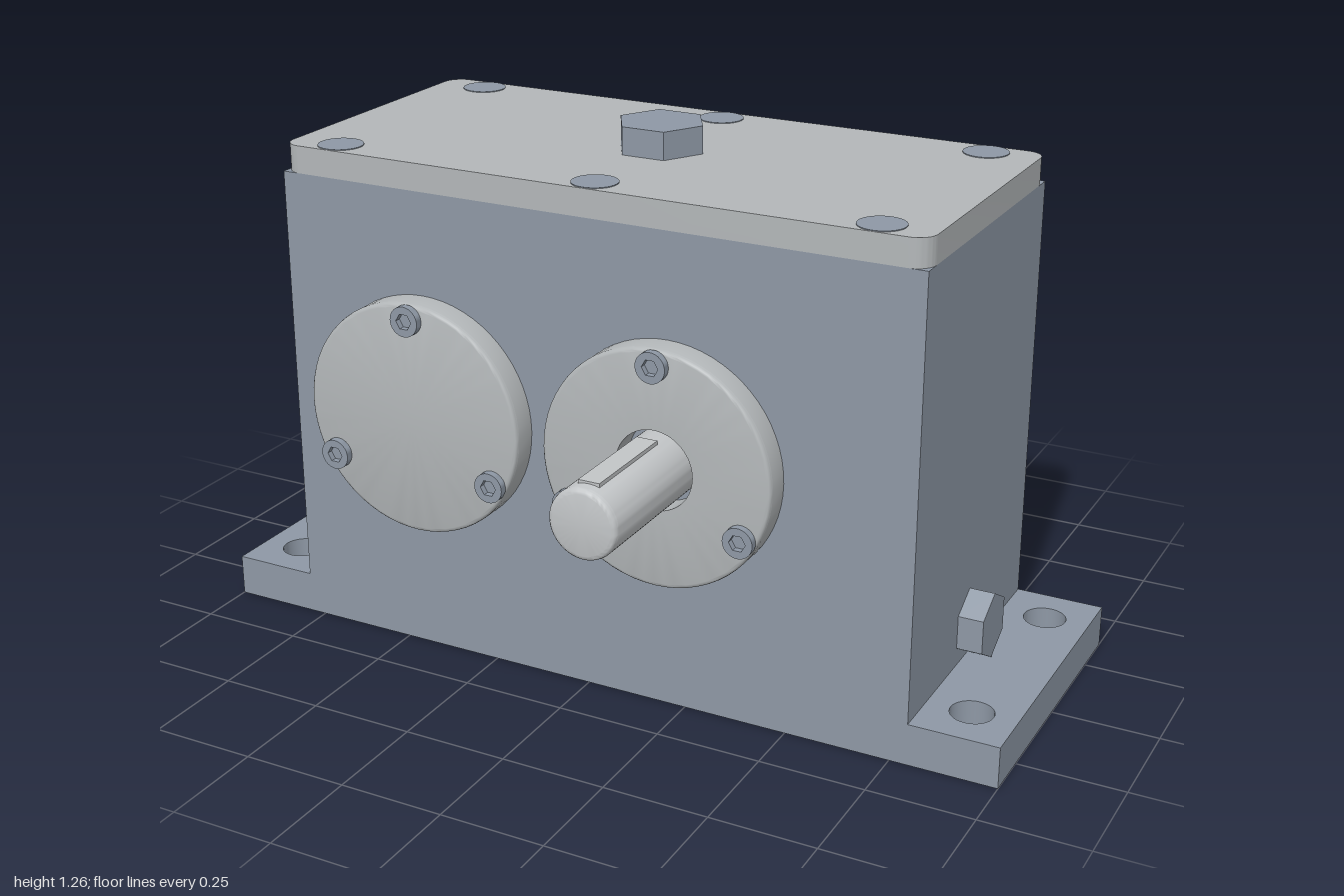
import * as THREE from 'three';
import { toCreasedNormals } from 'three/addons/utils/BufferGeometryUtils.js';

const mat = (name, color) => Object.assign(new THREE.MeshStandardMaterial({ color }), { name });

function polygon(target, radius, sides, turn = 0, cx = 0, cy = 0) {
  const pts = [];
  for (let i = 0; i < sides; i++) {
    const a = turn + (i / sides) * Math.PI * 2;
    pts.push(new THREE.Vector2(cx + radius * Math.cos(a), cy + radius * Math.sin(a)));
  }
  return target.setFromPoints(pts);
}

const extrude = (shape, depth) => toCreasedNormals(
  new THREE.ExtrudeGeometry(shape, { depth, bevelEnabled: false, curveSegments: 10 }), 0.6);

// Turned part along +z
const turned = (pts) => toCreasedNormals(
  new THREE.LatheGeometry(pts.map((p) => new THREE.Vector2(...p)), 64).rotateX(Math.PI / 2), 0.6);

// Quarter-round edge between a side of the given radius and an end face
function roundEdge(radius, length, r) {
  return [0, 1, 2, 3].map((i) => {
    const a = (i / 3) * Math.PI / 2;
    return [radius - r + r * Math.cos(a), length - r + r * Math.sin(a)];
  });
}

export function createModel() {
  const paint = mat('blue grey paint', 0x8e98a5);
  const cover = mat('light grey metal', 0xb3b7b9);
  const steel = mat('bright steel', 0xc2c5c7);
  const brass = mat('golden metal', 0xc9aa6a);
  const model = new THREE.Group();
  model.name = 'gearbox';

  function add(parent, name, geometry, material, x = 0, y = 0, z = 0) {
    const mesh = new THREE.Mesh(geometry, material);
    mesh.name = name;
    mesh.position.set(x, y, z);
    parent.add(mesh);
    return mesh;
  }

  // Foot plate with four mounting holes
  const foot = new THREE.Shape([[-1, -0.365], [1, -0.365], [1, 0.365], [-1, 0.365]]
    .map((p) => new THREE.Vector2(...p)));
  for (const x of [-0.895, 0.895]) for (const z of [-0.25, 0.25]) {
    foot.holes.push(polygon(new THREE.Path(), 0.05, 32, 0, x, z));
  }
  add(model, 'footPlate', extrude(foot, 0.1).rotateX(-Math.PI / 2), paint);

  // Housing
  add(model, 'housing', new THREE.BoxGeometry(1.58, 1.03, 0.73), paint, 0, 0.615, 0);

  // Lid with rounded corners
  const w = 0.79, d = 0.365, r = 0.045;
  const lid = new THREE.Shape();
  lid.moveTo(-w + r, -d);
  lid.lineTo(w - r, -d).absarc(w - r, -d + r, r, -Math.PI / 2, 0);
  lid.lineTo(w, d - r).absarc(w - r, d - r, r, 0, Math.PI / 2);
  lid.lineTo(-w + r, d).absarc(-w + r, d - r, r, Math.PI / 2, Math.PI);
  lid.lineTo(-w, -d + r).absarc(-w + r, -d + r, r, Math.PI, Math.PI * 1.5);
  add(model, 'lid', extrude(lid, 0.065).rotateX(-Math.PI / 2), cover, 0, 1.13, 0);

  // Flush lid screws
  for (const x of [-0.665, 0, 0.665]) for (const z of [-0.31, 0.31]) {
    add(model, 'lidScrew', new THREE.CylinderGeometry(0.053, 0.053, 0.004, 32), paint, x, 1.195, z);
  }

  // Hexagonal filler cap and drain plug
  add(model, 'fillerCap', extrude(polygon(new THREE.Shape(), 0.105, 6), 0.065).rotateX(-Math.PI / 2),
    paint, 0, 1.195, 0);
  add(model, 'drainPlug', extrude(polygon(new THREE.Shape(), 0.081, 6, Math.PI / 2), 0.06).rotateY(Math.PI / 2),
    paint, 0.79, 0.185, 0);

  // Bolt head with hexagonal socket
  const head = polygon(new THREE.Shape(), 0.036, 32);
  head.holes.push(polygon(new THREE.Path(), 0.02, 6));
  const headGeometry = extrude(head, 0.018);
  const socketGeometry = new THREE.CircleGeometry(0.021, 6);

  // Bearing cover, with a shaft and key where one passes through
  function bearing(x, side, shaftMaterial) {
    const group = new THREE.Group();
    group.name = side > 0 ? 'frontBearing' : 'backBearing';
    group.position.set(x, 0.605, side * 0.365);
    group.rotation.y = side > 0 ? 0 : Math.PI;
    model.add(group);
    const bore = shaftMaterial ? [[0.094, 0.065], [0.094, 0.002]] : [[0, 0.065]];
    add(group, 'bearingCover', turned([[0.28, 0], ...roundEdge(0.28, 0.065, 0.01), ...bore]), cover);
    for (let i = 0; i < 3; i++) {
      const a = Math.PI / 2 + (i * Math.PI * 2) / 3;
      const bx = 0.243 * Math.cos(a), by = 0.243 * Math.sin(a);
      add(group, 'coverBolt', headGeometry, paint, bx, by, 0.065);
      add(group, 'boltSocket', socketGeometry, paint, bx, by, 0.068);
    }
    if (shaftMaterial) {
      add(group, 'shaft', turned([[0.081, 0], ...roundEdge(0.081, 0.382, 0.012), [0, 0.382]]), shaftMaterial);
      add(group, 'shaftKey', new THREE.BoxGeometry(0.05, 0.03, 0.255), shaftMaterial, 0, 0.071, 0.222);
    }
  }
  bearing(-0.42, 1);
  bearing(0.205, 1, steel);
  bearing(-0.42, -1, brass);
  bearing(0.205, -1);

  return model;
}
